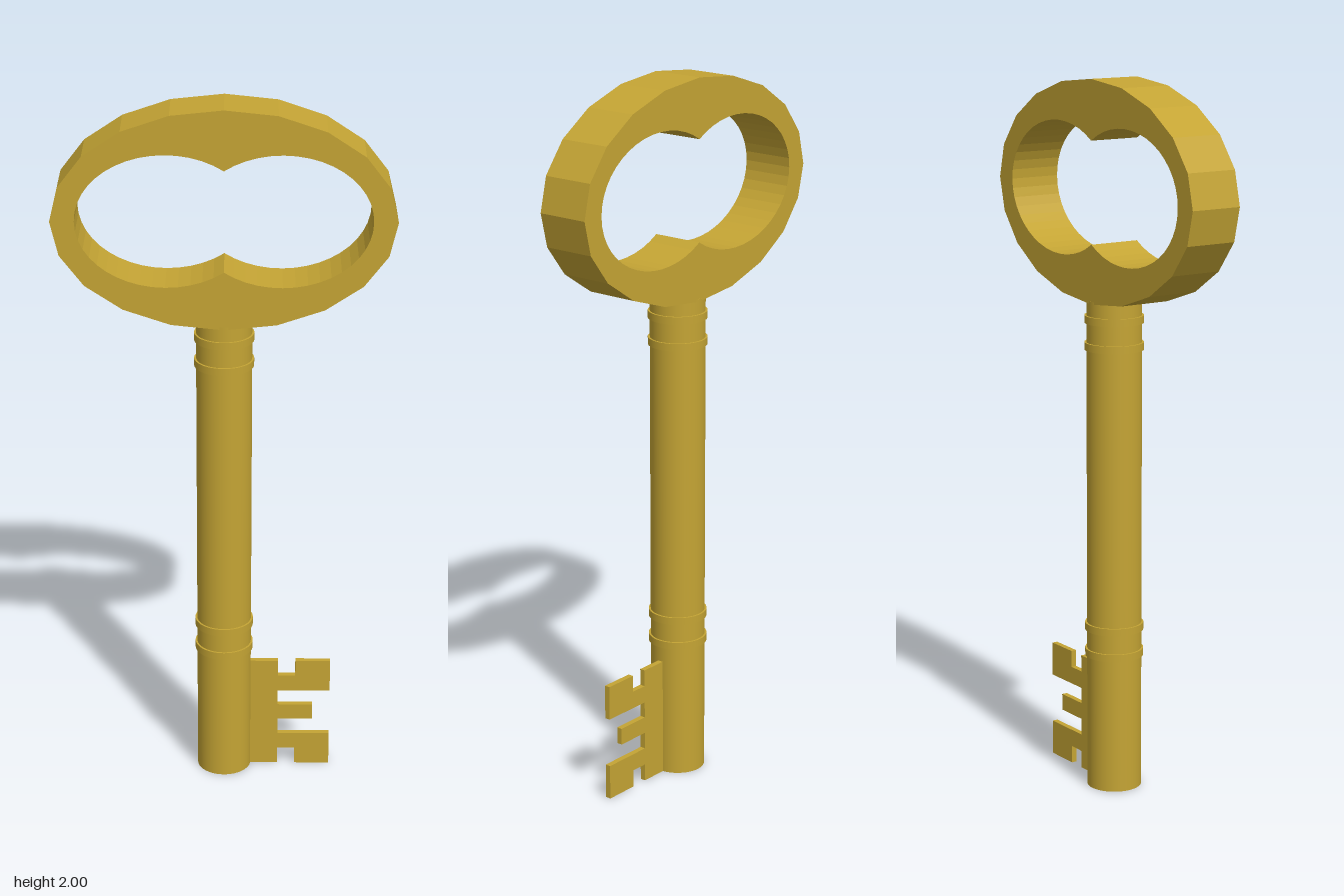
import * as THREE from 'three';

const brass = new THREE.MeshStandardMaterial({ color: 0xc4a434 });

function add(group, name, geometry, y = 0) {
  const mesh = new THREE.Mesh(geometry, brass);
  mesh.name = name;
  mesh.position.y = y;
  group.add(mesh);
}

// Flat plate extruded symmetrically about z = 0
function plate(shape, depth) {
  return new THREE.ExtrudeGeometry(shape, { depth, bevelEnabled: false, curveSegments: 16 })
    .translate(0, 0, -depth / 2);
}

// Faceted oval with a hole made of two overlapping ellipses
function bowShape() {
  const outline = [];
  for (let i = 0; i < 20; i++) {
    const a = (i / 20) * Math.PI * 2;
    outline.push(new THREE.Vector2(0.46 * Math.cos(a), 0.305 * Math.sin(a)));
  }
  const shape = new THREE.Shape(outline);
  const cx = 0.155, rx = 0.24, ry = 0.184;
  const cusp = Math.acos(-cx / rx); // angle where the lobes meet at x = 0
  const hole = new THREE.Path();
  hole.absellipse(cx, 0, rx, ry, -cusp, cusp, false);
  hole.absellipse(-cx, 0, rx, ry, Math.PI - cusp, Math.PI + cusp, false);
  shape.holes.push(hole);
  return shape;
}

// Toothed blade, starting inside the shaft
function bitShape() {
  return new THREE.Shape([
    [0.04, 0], [0.155, 0], [0.155, 0.05], [0.205, 0.05], [0.205, 0], [0.305, 0],
    [0.305, 0.1], [0.155, 0.1], [0.155, 0.148], [0.255, 0.148], [0.255, 0.196],
    [0.155, 0.196], [0.155, 0.242], [0.305, 0.242], [0.305, 0.34], [0.205, 0.34],
    [0.205, 0.292], [0.155, 0.292], [0.155, 0.34], [0.04, 0.34],
  ].map(([x, y]) => new THREE.Vector2(x, y)));
}

export function createModel() {
  const key = new THREE.Group();
  key.name = 'key';

  add(key, 'bow', plate(bowShape(), 0.151), 1.695);
  add(key, 'shaft', new THREE.CylinderGeometry(0.0765, 0.0765, 1.398, 48), 0.699);

  // Raised collars in two pairs
  for (const y of [0.395, 0.47, 1.27, 1.345]) {
    add(key, 'collar', new THREE.CylinderGeometry(0.082, 0.082, 0.021, 48), y);
  }

  add(key, 'bit', plate(bitShape(), 0.016));
  return key;
}
